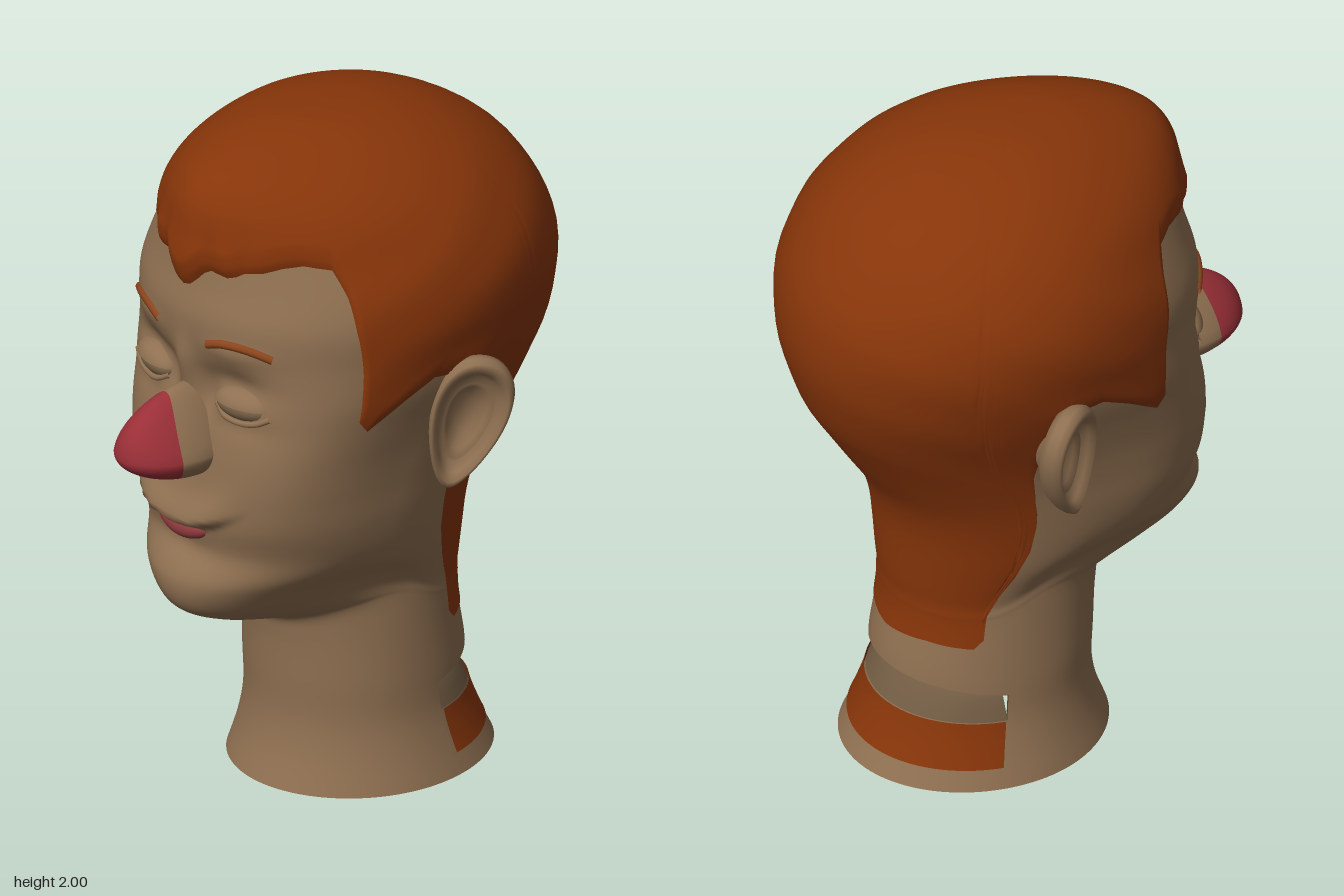
import * as THREE from 'three';
import { mergeVertices } from 'three/addons/utils/BufferGeometryUtils.js';

const mat = (name, color) => {
  const m = new THREE.MeshStandardMaterial({ color, side: THREE.DoubleSide });
  m.name = name;
  return m;
};
const RAD = Math.PI / 180;
const { smoothstep } = THREE.MathUtils;
const gauss = (t, s) => Math.exp(-(t / s) * (t / s));
const spow = (t, p) => Math.sign(t) * Math.pow(Math.abs(t), p);

// Head and neck cross-sections: height, half width, front z, back z, z of widest point
const ROWS = [
  [0, .345, .24, -.52, -.13], [.1, .315, .205, -.47, -.12], [.2, .295, .19, -.435, -.11],
  [.32, .29, .195, -.43, -.1], [.45, .283, .205, -.405, -.1], [.51, .28, .225, -.4, -.1],
  [.53, .28, .3, -.4, -.1], [.56, .283, .42, -.4, -.085], [.61, .303, .505, -.405, -.05],
  [.7, .343, .53, -.41, .01], [.8, .374, .487, -.42, .05], [.9, .395, .495, -.45, .06],
  [1, .408, .49, -.51, .04], [1.1, .425, .48, -.57, 0], [1.2, .45, .465, -.625, -.03],
  [1.3, .48, .465, -.66, -.06], [1.4, .5, .478, -.68, -.09], [1.5, .515, .49, -.685, -.1],
  [1.6, .51, .47, -.665, -.1], [1.7, .475, .455, -.62, -.1], [1.8, .41, .432, -.54, -.09],
  [1.88, .325, .37, -.435, -.08], [1.94, .225, .275, -.31, -.05], [1.975, .115, .15, -.17, -.02],
  [1.985, 0, -.01, -.01, -.01],
];
const TOP = ROWS.length - 1;

// Smooth interpolation between cross-sections
function row(v) {
  const i = Math.min(TOP - 1, Math.floor(v)), t = v - i;
  const at = k => ROWS[Math.max(0, Math.min(TOP, k))];
  const [a, b, c, d] = [at(i - 1), at(i), at(i + 1), at(i + 2)];
  return b.map((_, k) => b[k] + .5 * t * (c[k] - a[k] +
    t * (2 * a[k] - 5 * b[k] + 4 * c[k] - d[k] + t * (3 * (b[k] - c[k]) + d[k] - a[k]))));
}
function bisect(f, target, lo, hi) {
  for (let i = 0; i < 30; i++) {
    const m = (lo + hi) / 2;
    if (f(m) < target) lo = m; else hi = m;
  }
  return (lo + hi) / 2;
}
const vAt = y => y <= 0 ? 0 : bisect(v => row(v)[0], y, 0, TOP);

// Soft face modelling: x, y, spread x, spread y, depth
const RELIEF = [
  [.17, 1.33, .1, .045, -.03], [.08, 1.27, .04, .06, -.025], [.2, 1.21, .09, .03, -.008],
  [.19, 1.43, .1, .03, .01], [0, 1.35, .04, .08, .02], [0, .8, .12, .03, -.01],
];
function relief(x, y) {
  x = Math.abs(x);
  let d = 0;
  for (const [cx, cy, sx, sy, a] of RELIEF) d += a * gauss(x - cx, sx) * gauss(y - cy, sy);
  const s = y - (.885 + 1.5 * x * x);      // upper lip overhanging the smile
  return d + .045 * gauss(s, s > 0 ? .07 : .014) * Math.exp(-Math.pow(x / .18, 4));
}

// Point on the head at angle u (0 = front, towards +x) and section v, pushed out by off
function head(u, v, off = 0) {
  const [y, w, f, b, c] = row(v);
  // broad, flat cheeks below a rounder forehead
  const p = 1 - .35 * gauss(y - 1.1, .3) + .12 * smoothstep(y, 1.5, 1.72);
  const s = Math.sin(u), k = Math.cos(u);
  const x = w * spow(s, k > 0 ? p : 1);
  let z = k > 0 ? c + (f - c) * Math.pow(k, p) : c + (c - b) * k;
  if (k > 0) z += relief(x, y) * Math.min(1, k * 2);
  const jaw = .08 * s * s * smoothstep(k, -.55, .3) * gauss(y - .58, .15);   // jaw rises to the ear
  const out = new THREE.Vector3(x, Math.max(0, y - 1.3), z - c);
  return new THREE.Vector3(x, y + jaw, z).addScaledVector(out.normalize(), off);
}
function onFace(x, y, off = 0) {
  const v = vAt(y), u = bisect(a => head(a, v).x, x, 0, Math.PI / 2);
  return head(u, v, off);
}

function smooth(g) {
  g.deleteAttribute('uv');
  g.deleteAttribute('normal');
  g = mergeVertices(g, 1e-5);
  g.computeVertexNormals();
  return g;
}
// Grid of points: fn(s, t) with s and t from 0 to 1
function patch(nu, nv, fn) {
  const pos = [], idx = [];
  for (let i = 0; i <= nu; i++)
    for (let j = 0; j <= nv; j++) {
      pos.push(...fn(i / nu, j / nv).toArray());
      if (i < nu && j < nv) {
        const a = i * (nv + 1) + j, b = a + nv + 1;
        idx.push(a, b, b + 1, a, b + 1, a + 1);
      }
    }
  const g = new THREE.BufferGeometry();
  g.setAttribute('position', new THREE.Float32BufferAttribute(pos, 3));
  g.setIndex(idx);
  return smooth(g);
}

// Hairline: angle in degrees, height
const HAIRLINE = [
  [0, 1.585], [3, 1.592], [6, 1.613], [9, 1.637], [12, 1.65], [14, 1.647], [18, 1.642],
  [21, 1.65], [24, 1.664], [26, 1.667], [30, 1.672], [36, 1.69], [42, 1.7], [50, 1.69],
  [54, 1.62], [59, 1.5], [64, 1.33], [67, 1.25], [72, 1.215],
  [76, 1.25], [80, 1.29], [86, 1.34], [92, 1.33], [98, 1.27], [104, 1.18], [109, 1.08], [112, .98],
  [114, .88], [115, .78], [116, .68], [119, .46], [124, .43], [150, .435], [180, .42],
];
function hairline(u) {
  const a = Math.min(180, Math.abs(u / RAD));
  const i = Math.max(1, HAIRLINE.findIndex(h => h[0] >= a - 1e-6));
  const [p, q] = [HAIRLINE[i - 1], HAIRLINE[i]];
  return p[1] + (q[1] - p[1]) * (a - p[0]) / (q[0] - p[0]);
}

export function createModel() {
  const model = new THREE.Group();
  const skin = mat('skin', 0x8f7051), hair = mat('ginger hair', 0x873509);
  const red = mat('nose red', 0x9a2f37), lip = mat('lip red', 0x8f3a3c);
  const eye = mat('eye', 0x7a6247), brow = mat('eyebrow', 0x8c451c);
  const hollow = mat('hollow inside', 0x584a35), ledge = mat('slot ledge', 0x705a42);
  const add = (name, geo, m, parent = model) => {
    const mesh = new THREE.Mesh(geo, m);
    mesh.name = name;
    parent.add(mesh);
    return mesh;
  };
  const line = (name, pts, r, m, off, parent) => {
    const curve = new THREE.CatmullRomCurve3(pts.map(([x, y]) => onFace(x, y, off)));
    return add(name, new THREE.TubeGeometry(curve, 24, r, 8), m, parent);
  };

  // Head and neck, with a slot left open across the back; columns are denser on the face
  const turn = k => Math.PI * k * (.45 + .55 * k * k);
  const SLOT = .76, U = turn(SLOT);
  const back = s => U + s * 2 * (Math.PI - U);
  const slotTop = u => .27 + .04 * Math.sin(Math.PI / 2 * Math.max(0, (Math.abs(u) - U) / (Math.PI - U)));
  const shell = (nv, yTop, off) => patch(200, nv, (s, t) => {
    const u = turn(2 * s - 1), v = vAt(slotTop(u));
    return head(u, v + t * (vAt(yTop) - v), off);
  });
  const frontNeck = off => patch(152, 16, (s, t) => head(turn(SLOT * (2 * s - 1)), t * vAt(.27), off));
  const neckBase = off => patch(64, 8, (s, t) => head(back(s), t * vAt(.19), off));
  add('head', shell(144, 1.985, 0), skin);
  add('frontOfNeck', frontNeck(0), skin);
  add('neckBase', neckBase(0), skin);
  add('headLining', shell(40, 1, -.012), hollow);
  add('neckLining', frontNeck(-.012), hollow);
  add('neckBaseLining', neckBase(-.012), hollow);
  add('slotLedge', patch(64, 4, (s, t) => {
    const p = head(back(s), vAt(.19));
    p.x *= 1 - .14 * t;
    p.z += .08 * t * Math.sin(Math.PI * s);
    p.y += .085 * Math.sin(t * Math.PI / 2);
    return p;
  }), ledge);
  add('neckHairBand', patch(64, 6, (s, t) =>
    head(back(.005 + .99 * s), vAt(.06 + .13 * t), .005)), hair);

  // Hair cap: thicker over the fringe, thin at the nape, rounded at its edge
  add('hair', patch(360, 56, (s, t) => {
    const u = (2 * s - 1) * Math.PI, lo = hairline(u), v0 = vAt(lo);
    const v = v0 + t * (TOP - v0), y = row(v)[0], a = Math.abs(u / RAD);
    const upper = smoothstep(y, .9, 1.45);
    const fringe = gauss(u, .75) * smoothstep(y, 1.5, 1.66) * (1 - smoothstep(y, 1.84, 1.98));
    const partings = .009 * (gauss(a - 13, 3.5) + gauss(a - 25, 3.5)) * gauss(y - 1.65, .09);
    const waves = .0015 * upper * Math.sin(y * 30 + 9 * Math.cos(u)) * (1 - smoothstep(y, 1.7, 1.95));
    const edge = Math.sqrt(Math.min(1, Math.max(0, y - lo) / .05));
    return head(u, v, .005 + (.01 * upper + .028 * fringe - partings + waves) * edge);
  }), hair);

  // Nose: pear-shaped, with a red tip whose edge sweeps back at top and bottom
  const nosePart = (t0, t1) => {
    const g = new THREE.SphereGeometry(1, 40, 16, 0, Math.PI * 2, t0, t1 - t0).rotateX(Math.PI / 2);
    const p = g.attributes.position;
    for (let i = 0; i < p.count; i++) {
      const a = p.getX(i), b = p.getY(i), c = p.getZ(i);
      p.setXYZ(i, .13 * a * (1 - .5 * Math.max(0, b)), 1.11 + b * (b > 0 ? .175 : .093),
        .512 + .184 * c - .04 * b * b);
    }
    return smooth(g);
  };
  add('noseTip', nosePart(0, 1.22), red);
  add('noseBase', nosePart(1.22, Math.PI * .75), skin);

  // Lips, curved into the smile
  const lips = new THREE.SphereGeometry(1, 32, 16).scale(.112, .032, .03);
  const lp = lips.attributes.position;
  for (let i = 0; i < lp.count; i++) {
    const x = lp.getX(i);
    lp.setY(i, lp.getY(i) + 1.5 * x * x);
    lp.setZ(i, lp.getZ(i) - .7 * x * x);
  }
  add('lips', smooth(lips), lip).position.set(0, .852, onFace(0, .84).z - .003);

  // Ear dish, narrowing to the lobe
  const earProfile = [[.2, -.1], [.5, -.055], [.88, -.035], [.98, -.012], [1, .012], [.96, .032],
    [.87, .036], [.77, .018], [.66, -.004], [.58, .004], [.48, -.012], [.25, -.028], [0, -.03]];
  const ear = new THREE.LatheGeometry(earProfile.map(([r, h]) => new THREE.Vector2(r, h)), 48)
    .scale(.215, 1, .105).rotateZ(-Math.PI / 2);
  const ep = ear.attributes.position;
  for (let i = 0; i < ep.count; i++) ep.setZ(i, ep.getZ(i) * (1 + 1.7 * ep.getY(i)));
  const earGeo = smooth(ear);

  // Paired parts, mirrored
  for (const side of [1, -1]) {
    const half = new THREE.Group();
    half.name = side > 0 ? 'leftFeatures' : 'rightFeatures';
    half.scale.x = side;
    model.add(half);

    const e = add('ear', earGeo, skin, half);
    e.position.set(.49, 1.175, -.12);
    e.rotation.set(-.3, -.5, -.29);

    const socket = new THREE.Group();
    socket.name = 'eye';
    socket.position.copy(onFace(.195, 1.265)).add(new THREE.Vector3(-.008, 0, -.028));
    socket.rotation.y = .25;
    half.add(socket);
    add('eyeball', new THREE.SphereGeometry(1, 28, 16).scale(.09, .04, .045), eye, socket);
    add('upperLid', new THREE.SphereGeometry(1, 28, 10, 0, Math.PI * 2, 0, 1.38)
      .scale(.098, .056, .054), skin, socket);
    line('lowerLid', [[.105, 1.255], [.15, 1.232], [.2, 1.225], [.25, 1.235], [.29, 1.258]],
      .009, skin, 0, half);
    line('eyebrow', [[.105, 1.442], [.15, 1.457], [.2, 1.461], [.25, 1.455], [.295, 1.44]],
      .014, brow, -.004, half);
  }
  return model;
}
